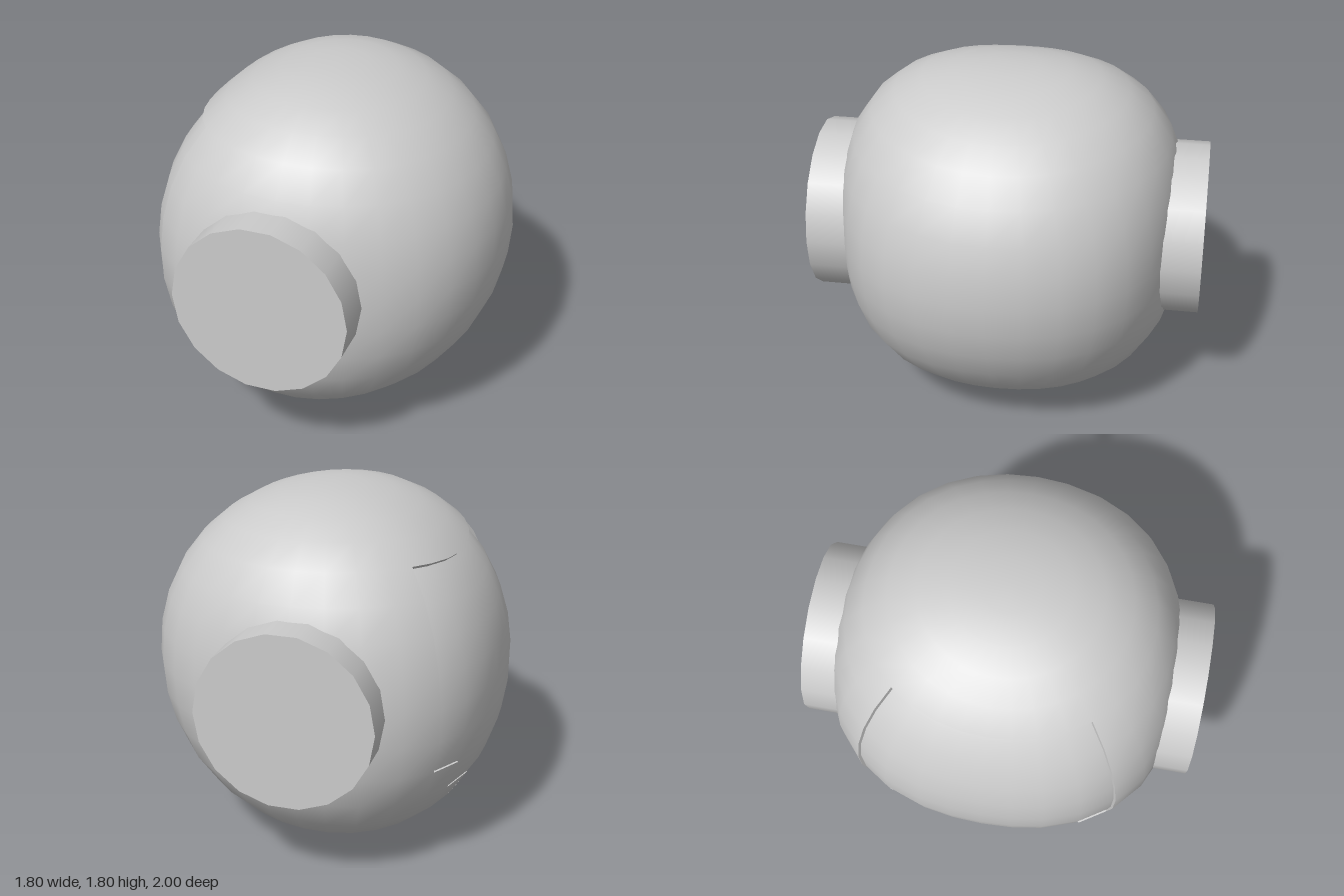
import * as THREE from 'three';

const DEG = Math.PI / 180;
const R = 0.9;
const grey = () => new THREE.MeshStandardMaterial({ color: 0xcccccc });

// Radius of the slightly squared, lopsided ball in a unit direction
function radius({ x, y, z }) {
  const xx = x * x, yy = y * y, zz = z * z;
  return R * (1 + 0.04 * x * y + 0.08 * xx * yy - 0.04 * x * yy
    + 0.33 * yy * zz + 0.2 * xx * zz - 0.09 * x * zz);
}

// Azimuth 0 is the middle of the face opening (-x), growing towards +z
function point(az, el) {
  const a = az * DEG, e = el * DEG;
  const d = new THREE.Vector3(-Math.cos(a) * Math.cos(e), Math.sin(e), Math.sin(a) * Math.cos(e));
  return d.multiplyScalar(radius(d));
}

// Smooth normal: gradient of |p| / radius(direction)
function normalAt(p) {
  const level = q => q.length() / radius(q.clone().normalize());
  const h = 1e-3, n = new THREE.Vector3();
  for (const k of ['x', 'y', 'z']) {
    const a = p.clone(), b = p.clone();
    a[k] += h;
    b[k] -= h;
    n[k] = level(a) - level(b);
  }
  return n.normalize();
}

function steps(from, to, count) {
  return Array.from({ length: count }, (_, i) => from + (to - from) * i / count);
}

// Grid lines follow the steps of the opening
const halfCols = [0, 10.5, 21, 33, ...steps(43, 180, 12)];
const cols = [...halfCols, 180, ...halfCols.slice(1).reverse().map(a => 360 - a), 360];
const rows = [...steps(-90, -41, 5), -41, -29.5, ...steps(-19, 43, 6), ...steps(43, 90, 5), 90];

// Half width of the face opening, stepping in towards the chin
function openingHalfWidth(el) {
  if (el > 43 || el < -41) return 0;
  if (el > -19) return 43;
  return el > -29.5 ? 33 : 21;
}

function isOpen(i, j) {
  const n = cols.length - 1;
  const c = (i + n) % n;
  const az = (cols[c] + cols[c + 1]) / 2;
  return Math.min(az, 360 - az) < openingHalfWidth((rows[j] + rows[j + 1]) / 2);
}

// Ball skin, leaving out the cells for which skip is true
function skin(skip) {
  const pos = [], nor = [], idx = [], w = cols.length;
  for (const el of rows) {
    for (const az of cols) {
      const p = point(az, el);
      pos.push(p.x, p.y, p.z);
      nor.push(...normalAt(p).toArray());
    }
  }
  for (let j = 0; j < rows.length - 1; j++) {
    for (let i = 0; i < w - 1; i++) {
      if (skip(i, j)) continue;
      const a = j * w + i, b = a + 1, c = b + w, d = a + w;
      idx.push(a, b, c, a, c, d);
    }
  }
  const g = new THREE.BufferGeometry();
  g.setAttribute('position', new THREE.Float32BufferAttribute(pos, 3));
  g.setAttribute('normal', new THREE.Float32BufferAttribute(nor, 3));
  g.setIndex(idx);
  return g;
}

// Wall of the opening, running inwards from the shell edge
function rim(depth) {
  const pos = [];
  const wall = (a0, e0, a1, e1) => {
    const p = point(a0, e0), q = point(a1, e1);
    const pi = p.clone().multiplyScalar(depth), qi = q.clone().multiplyScalar(depth);
    for (const v of [p, q, qi, p, qi, pi]) pos.push(v.x, v.y, v.z);
  };
  for (let j = 1; j < rows.length - 2; j++) {
    for (let i = 0; i < cols.length - 1; i++) {
      if (!isOpen(i, j)) continue;
      const [a0, a1, e0, e1] = [cols[i], cols[i + 1], rows[j], rows[j + 1]];
      if (!isOpen(i, j - 1)) wall(a0, e0, a1, e0);
      if (!isOpen(i, j + 1)) wall(a1, e1, a0, e1);
      if (!isOpen(i - 1, j)) wall(a0, e1, a0, e0);
      if (!isOpen(i + 1, j)) wall(a1, e0, a1, e1);
    }
  }
  const g = new THREE.BufferGeometry();
  g.setAttribute('position', new THREE.Float32BufferAttribute(pos, 3));
  g.computeVertexNormals();
  return g;
}

export function createModel() {
  const model = new THREE.Group();
  const add = (name, geometry, parent = model) => {
    const mesh = new THREE.Mesh(geometry, grey());
    mesh.name = name;
    parent.add(mesh);
    return mesh;
  };

  // Helmet: outer shell with a stepped face opening, and its rim
  const helmet = new THREE.Group();
  helmet.name = 'helmet';
  helmet.position.y = R;
  model.add(helmet);
  add('shell', skin(isOpen), helmet);
  add('openingRim', rim(0.92), helmet).material.side = THREE.DoubleSide;

  // Visor: slightly smaller ball filling the opening
  const visor = add('visor', skin(() => false), helmet);
  visor.scale.setScalar(0.965);
  visor.position.set(-0.028, -0.012, 0);

  // Round ear pieces on both sides
  for (const side of [1, -1]) {
    const ear = new THREE.CylinderGeometry(0.445, 0.445, 0.4, 18, 1, false, Math.PI / 2);
    ear.rotateX(Math.PI / 2);
    add(side > 0 ? 'frontEarPiece' : 'backEarPiece', ear).position.set(-0.04, 0.917, side * 0.8);
  }
  return model;
}
